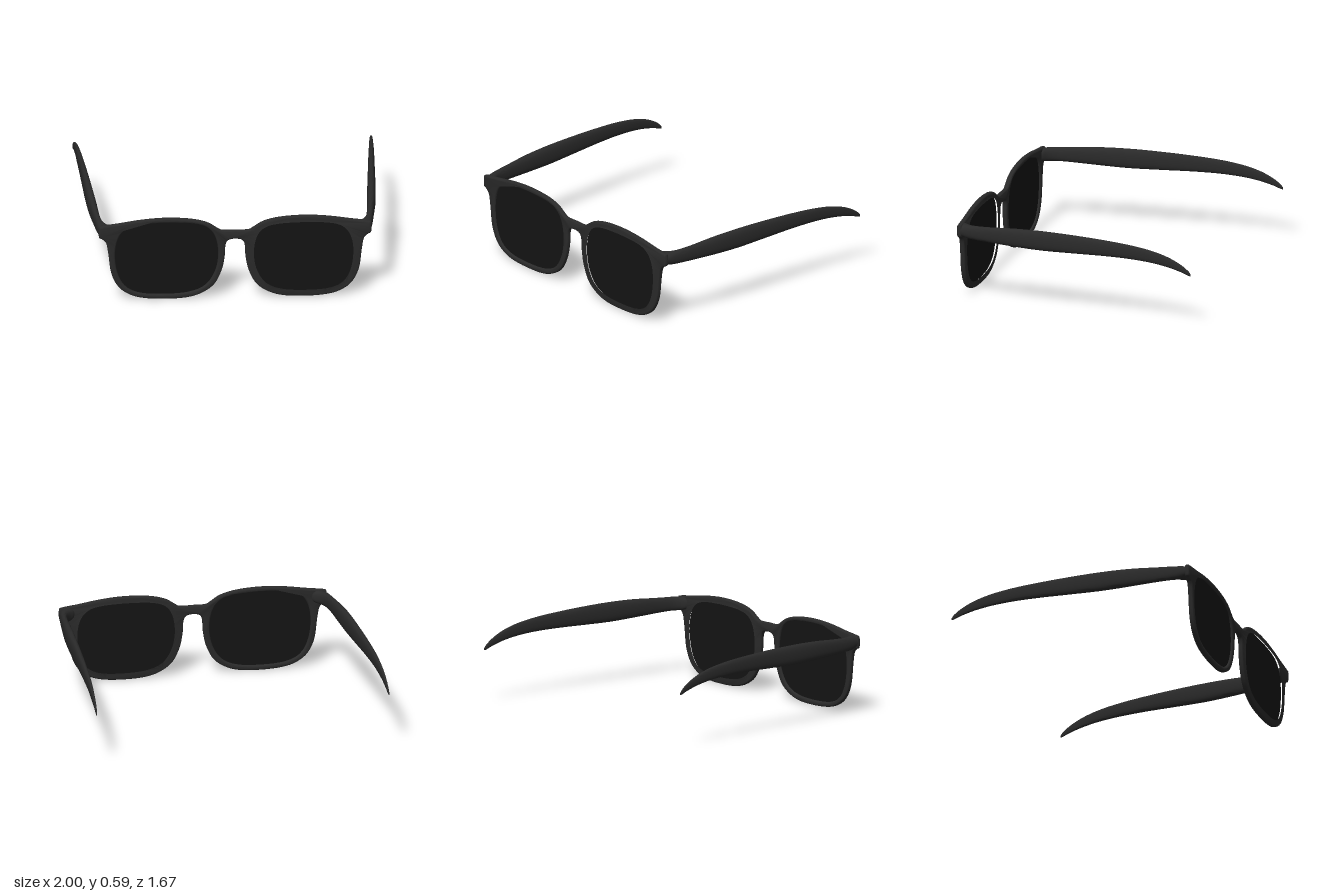
import * as THREE from 'three';
import { toCreasedNormals } from 'three/addons/utils/BufferGeometryUtils.js';

const frameMat = new THREE.MeshStandardMaterial({ color: 0x2a2a2a });
const lensMat = new THREE.MeshStandardMaterial({ color: 0x141414 });
const v2 = (p) => new THREE.Vector2(p[0], p[1]);

// Rim opening, for the +x side
const opening = [
  [0.46, 0.56], [0.62, 0.553], [0.72, 0.525], [0.78, 0.455], [0.802, 0.34], [0.785, 0.2], [0.73, 0.1],
  [0.63, 0.052], [0.47, 0.04], [0.31, 0.052], [0.2, 0.1], [0.135, 0.2], [0.113, 0.33],
  [0.135, 0.455], [0.195, 0.525], [0.3, 0.553],
];

// Outer outline, from the top of the bridge round to its underside
const outline = [
  [0, 0.495], [0.085, 0.495], [0.12, 0.512], [0.19, 0.555], [0.3, 0.582], [0.46, 0.592], [0.62, 0.582],
  [0.78, 0.558], [0.89, 0.543], [0.91, 0.53], [0.91, 0.465], [0.89, 0.45], [0.862, 0.42],
  [0.847, 0.34], [0.828, 0.2], [0.78, 0.1], [0.7, 0.04], [0.6, 0.013], [0.46, 0.005],
  [0.32, 0.013], [0.22, 0.045], [0.14, 0.105], [0.09, 0.205], [0.069, 0.31],
  [0.064, 0.39], [0.045, 0.425], [0, 0.435],
];

function openingPoints(side) {
  const curve = new THREE.SplineCurve([...opening, opening[0]].map(v2));
  return curve.getPoints(96).slice(0, -1).map((p) => new THREE.Vector2(side * p.x, p.y));
}

function frontFrame() {
  const half = new THREE.SplineCurve(outline.map(v2)).getPoints(130);
  const mirrored = half.slice(1, -1).reverse().map((p) => new THREE.Vector2(-p.x, p.y));
  const shape = new THREE.Shape([...half, ...mirrored]);
  for (const side of [1, -1]) shape.holes.push(new THREE.Path(openingPoints(side)));
  const geo = new THREE.ExtrudeGeometry(shape, {
    depth: 0.01, bevelThickness: 0.012, bevelSize: 0.012, bevelOffset: -0.012, bevelSegments: 4,
  });
  geo.translate(0, 0, 0.813);
  return new THREE.Mesh(toCreasedNormals(geo, 0.7), frameMat);
}

function lens(side) {
  const geo = new THREE.ExtrudeGeometry(new THREE.Shape(openingPoints(side)), { depth: 0.006, bevelEnabled: false });
  geo.translate(0, 0, 0.815);
  return new THREE.Mesh(geo, lensMat);
}

// Temple sections: z, inner x, outer x, bottom y, top y
const sections = [
  [0.815, 0.80, 0.912, 0.455, 0.54],
  [0.795, 0.815, 0.915, 0.452, 0.542],
  [0.765, 0.848, 0.92, 0.45, 0.543],
  [0.71, 0.876, 0.927, 0.449, 0.544],
  [0.6, 0.892, 0.94, 0.445, 0.55],
  [0.42, 0.902, 0.96, 0.438, 0.563],
  [0.22, 0.915, 0.972, 0.434, 0.568],
  [0, 0.93, 0.98, 0.44, 0.565],
  [-0.22, 0.945, 0.988, 0.447, 0.556],
  [-0.4, 0.958, 0.994, 0.447, 0.543],
  [-0.55, 0.969, 0.997, 0.438, 0.522],
  [-0.67, 0.978, 1.0, 0.42, 0.49],
  [-0.76, 0.985, 1.0, 0.397, 0.449],
  [-0.815, 0.99, 1.0, 0.377, 0.41],
  [-0.833, 0.993, 0.998, 0.373, 0.388],
];

// Loft of rounded sections, closed at both ends
function temple(side) {
  const centre = new THREE.CatmullRomCurve3(
    sections.map(([z, a, b, c, d]) => new THREE.Vector3((a + b) / 2, (c + d) / 2, z)), false, 'catmullrom');
  const size = new THREE.CatmullRomCurve3(
    sections.map(([z, a, b, c, d]) => new THREE.Vector3((b - a) / 2, (d - c) / 2, z)), false, 'catmullrom');
  const rings = 70, n = 28, pos = [], idx = [];
  const round = (c) => Math.sign(c) * Math.abs(c) ** 0.85;
  for (let i = 0; i <= rings; i++) {
    const c = centre.getPoint(i / rings), r = size.getPoint(i / rings);
    for (let j = 0; j < n; j++) {
      const a = (j / n) * Math.PI * 2;
      pos.push(side * c.x + r.x * round(Math.cos(a)), c.y + r.y * round(Math.sin(a)), c.z);
    }
  }
  for (let i = 0; i < rings; i++) {
    for (let j = 0; j < n; j++) {
      const a = i * n + j, b = i * n + (j + 1) % n;
      idx.push(a, a + n, b, b, a + n, b + n);
    }
  }
  const last = rings * n;
  for (let j = 1; j < n - 1; j++) {
    idx.push(0, j, j + 1, last, last + j + 1, last + j);
  }
  const geo = new THREE.BufferGeometry();
  geo.setAttribute('position', new THREE.Float32BufferAttribute(pos, 3));
  geo.setIndex(idx);
  return new THREE.Mesh(toCreasedNormals(geo, 0.9), frameMat);
}

export function createModel() {
  const group = new THREE.Group();
  group.name = 'sunglasses';
  const add = (mesh, name) => { mesh.name = name; group.add(mesh); };
  add(frontFrame(), 'frontFrame');
  for (const [side, label] of [[1, 'left'], [-1, 'right']]) {
    add(lens(side), label + 'Lens');
    add(temple(side), label + 'Temple');
  }
  return group;
}
